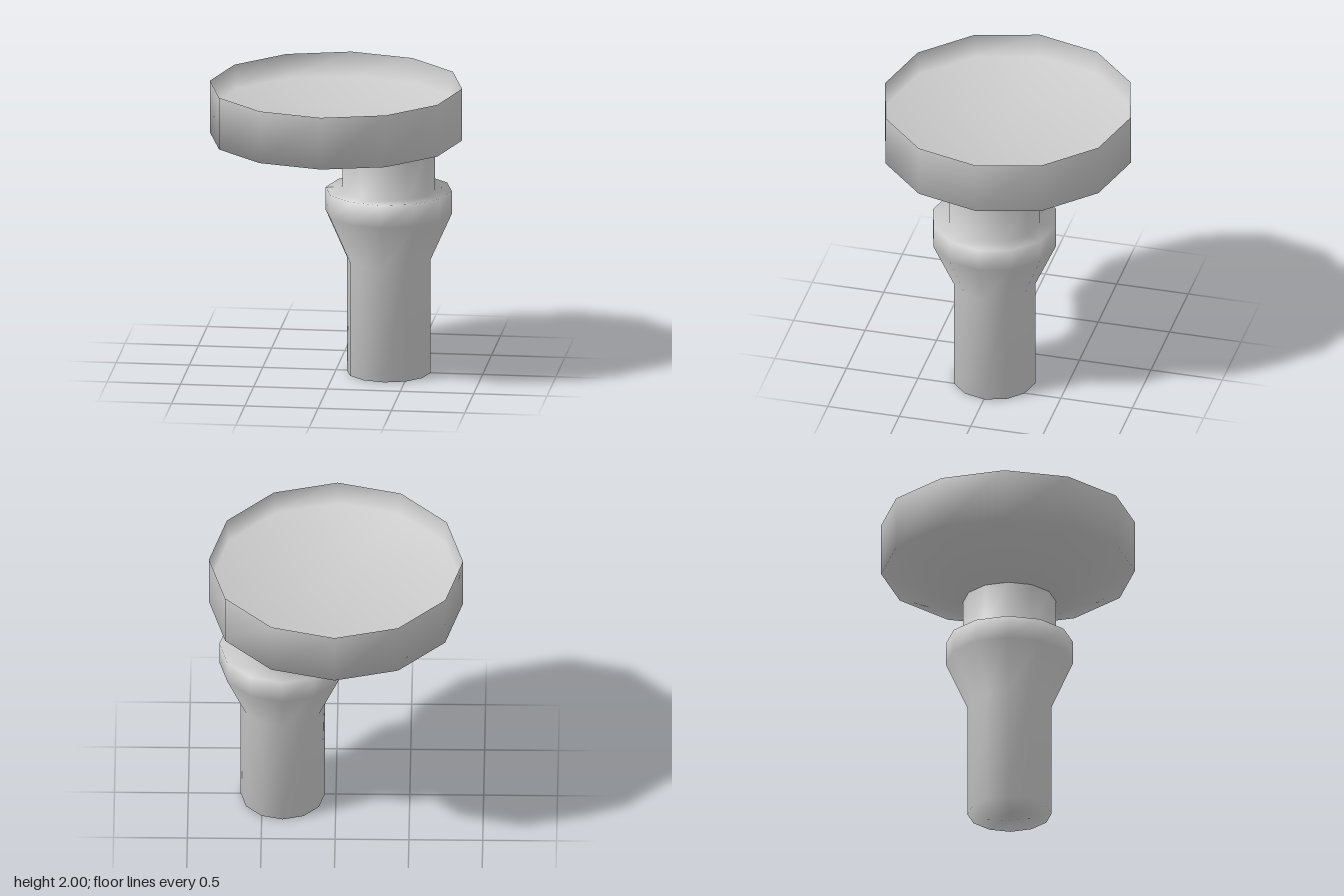
import * as THREE from 'three';

const SIDES = 12;
const STEM_X = 0.36; // the stem stands off-centre under the bowl

// Smooth skin through 12-sided rings given as [centreX, y, radius]
function loft(name, rings) {
  const positions = [];
  const indices = [];
  for (const [cx, y, r] of rings) {
    for (let i = 0; i < SIDES; i++) {
      const a = (i / SIDES) * Math.PI * 2;
      positions.push(cx + r * Math.cos(a), y, r * Math.sin(a));
    }
  }
  for (let k = 0; k < rings.length - 1; k++) {
    for (let i = 0; i < SIDES; i++) {
      const j = (i + 1) % SIDES;
      const a = k * SIDES + i, a2 = k * SIDES + j;
      const b = a + SIDES, b2 = a2 + SIDES;
      indices.push(a, b, a2, a2, b, b2);
    }
  }
  const geometry = new THREE.BufferGeometry();
  geometry.setAttribute('position', new THREE.Float32BufferAttribute(positions, 3));
  geometry.setIndex(indices);
  geometry.computeVertexNormals();
  const material = new THREE.MeshStandardMaterial({ color: 0xcccccc });
  const mesh = new THREE.Mesh(geometry, material);
  mesh.name = name;
  return mesh;
}

export function createModel() {
  const model = new THREE.Group();
  model.name = 'pedestalBowl';

  // Stem: closed foot, straight shaft, flared collar, narrower neck
  model.add(loft('stem', [
    [STEM_X, 0, 0],
    [STEM_X, 0, 0.285],
    [STEM_X, 0.795, 0.285],
    [STEM_X, 1.12, 0.43],
    [STEM_X, 1.28, 0.43],
    [STEM_X, 1.28, 0.315],
    [STEM_X, 1.585, 0.315],
  ]));

  // Bowl shell: shallow underside spreading from the neck, then upright wall
  model.add(loft('bowlShell', [
    [STEM_X, 1.585, 0.315],
    [0, 1.637, 0.86],
    [0, 2, 0.86],
  ]));

  // Basin: inner wall down from the rim to a flat floor
  model.add(loft('bowlBasin', [
    [0, 2, 0.86],
    [0, 1.835, 0.845],
    [0, 1.835, 0],
  ]));

  return model;
}
